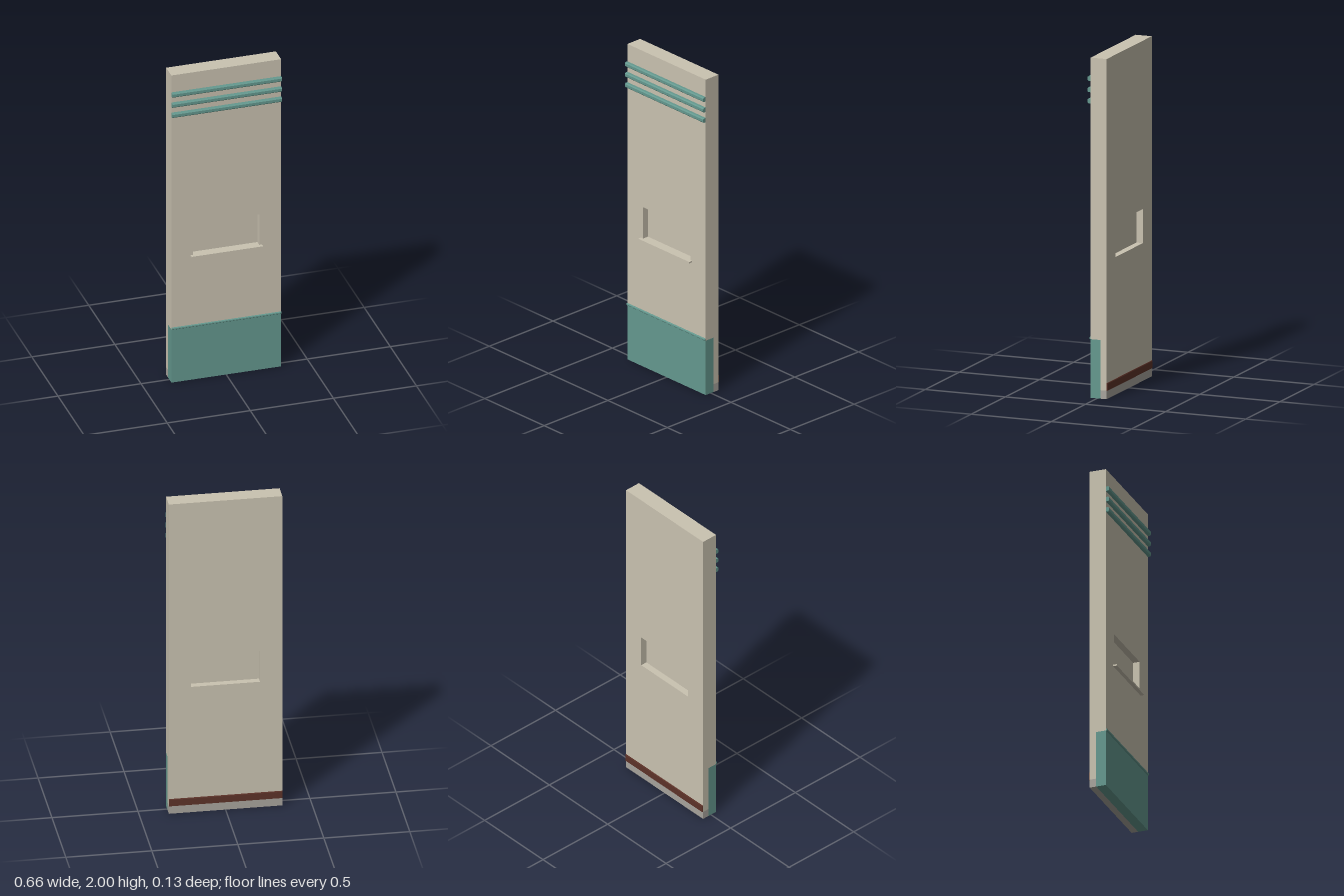
import * as THREE from 'three';

export function createModel() {
  const group = new THREE.Group();
  const mat = (name, color) => {
    const m = new THREE.MeshStandardMaterial({ color });
    m.name = name;
    return m;
  };
  const plaster = mat('beige plaster', 0xcac3b1);
  const teal = mat('teal paint', 0x65998f);
  const concrete = mat('grey concrete', 0xa8a49d);
  const brown = mat('brown skirting', 0x5e3329);

  const W = 0.66, BACK = -0.06, FRONT = 0.04;

  const add = (name, geometry, material) => {
    const mesh = new THREE.Mesh(geometry, material);
    mesh.name = name;
    group.add(mesh);
    return mesh;
  };
  // Box given by its limits on each axis
  const box = (name, material, x0, x1, y0, y1, z0, z1) =>
    add(name, new THREE.BoxGeometry(x1 - x0, y1 - y0, z1 - z0), material)
      .position.set((x0 + x1) / 2, (y0 + y1) / 2, (z0 + z1) / 2);
  // Full-width moulding from a [z, y] profile
  const moulding = (name, material, profile) => {
    const shape = new THREE.Shape(profile.map(([z, y]) => new THREE.Vector2(-z, y)));
    const geo = new THREE.ExtrudeGeometry(shape, { depth: W, bevelEnabled: false });
    geo.rotateY(Math.PI / 2).translate(-W / 2, 0, 0);
    return add(name, geo, material);
  };

  // Upper wall with window opening
  const wall = new THREE.Shape([[-W / 2, 0.345], [W / 2, 0.345], [W / 2, 2], [-W / 2, 2]]
    .map(([x, y]) => new THREE.Vector2(x, y)));
  wall.holes.push(new THREE.Path([[-0.2, 0.81], [-0.2, 1.01], [0.2, 1.01], [0.2, 0.81]]
    .map(([x, y]) => new THREE.Vector2(x, y))));
  const wallGeo = new THREE.ExtrudeGeometry(wall, { depth: FRONT - BACK, bevelEnabled: false });
  add('wall', wallGeo.translate(0, 0, BACK), plaster);

  // Lower wall: painted plinth in front, plaster behind, floor edge below
  box('plinth', teal, -W / 2, W / 2, 0, 0.345, -0.02, FRONT);
  box('lowerWall', plaster, -W / 2, W / 2, 0.05, 0.345, BACK, -0.02);
  box('floorEdge', concrete, -W / 2, W / 2, 0, 0.05, BACK, -0.02);
  moulding('skirting', brown, [
    [BACK, 0.05], [BACK, 0.095], [BACK - 0.003, 0.095], [BACK - 0.005, 0.09], [BACK - 0.005, 0.05],
  ]);

  // Chamfered cap over the plinth
  moulding('plinthCap', teal, [
    [FRONT, 0.345], [0.045, 0.345], [0.048, 0.348], [0.048, 0.355], [0.045, 0.358], [FRONT, 0.358],
  ]);

  // Three chamfered bands near the top
  for (const y of [1.744, 1.81, 1.876]) {
    moulding('band', teal, [
      [FRONT, y - 0.014], [0.054, y - 0.014], [0.06, y - 0.008],
      [0.06, y + 0.008], [0.054, y + 0.014], [FRONT, y + 0.014],
    ]);
  }

  // Window sill
  box('windowSill', plaster, -0.215, 0.215, 0.802, 0.812, FRONT, 0.063);

  // Recessed grid of window blocks, 6 by 3
  const s = 0.2 / 3;
  for (let i = 0; i < 6; i++) {
    for (let j = 0; j < 3; j++) {
      const x = -0.2 + i * s, y = 0.81 + j * s;
      box('windowBlock', plaster, x, x + s, y, y + s, -0.02, 0);
    }
  }

  return group;
}
